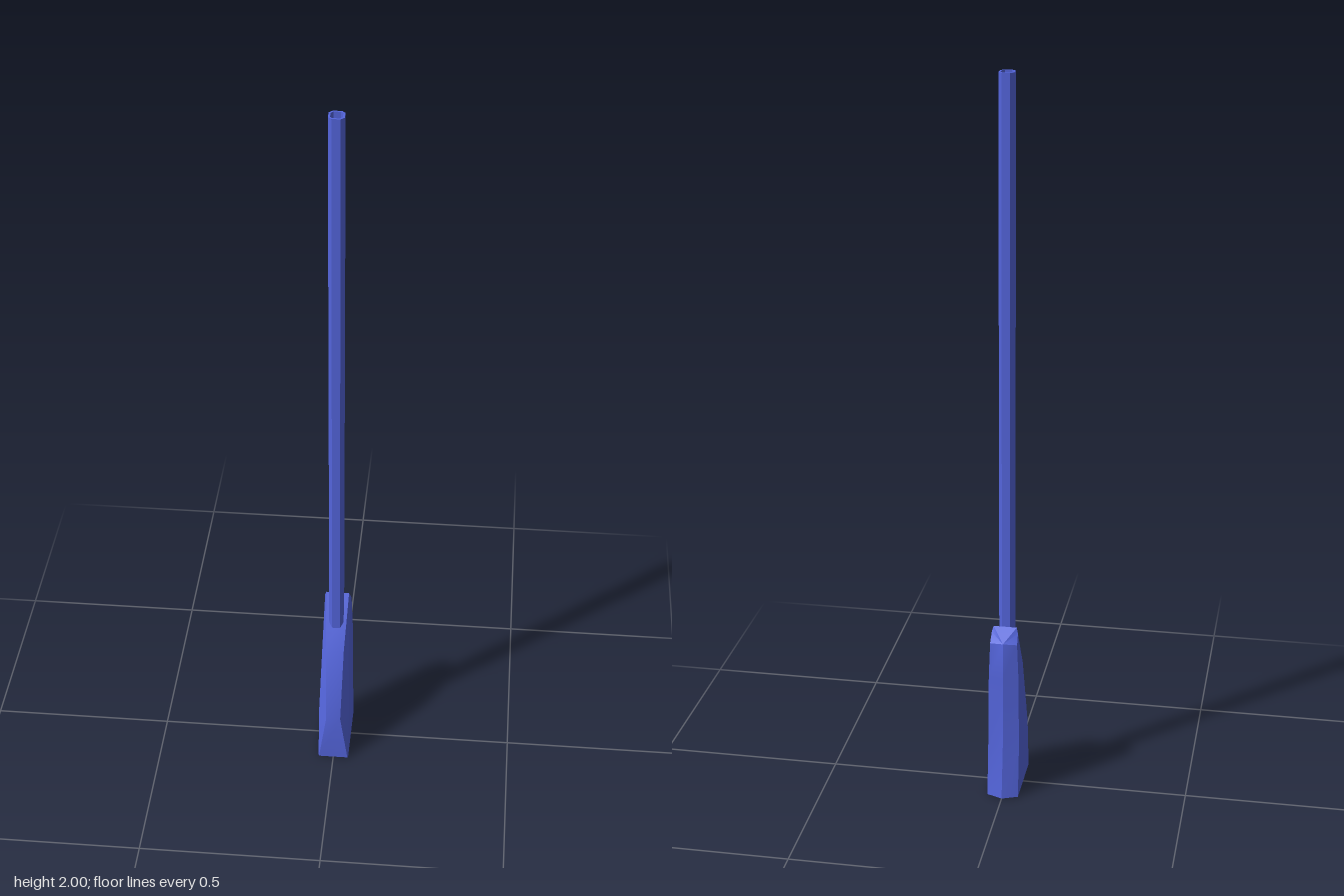
import * as THREE from 'three';
import { toCreasedNormals } from 'three/addons/utils/BufferGeometryUtils.js';

// Skin a stack of symmetric rings; each ring lists its right half [x, y, z], ending at the back ridge
function loftHalfRings(halves) {
  const rings = halves.map(h => [
    ...h,
    ...h.slice(0, -1).reverse().map(([x, y, z]) => [-x, y, z]),
  ]);
  const n = rings[0].length, ridge = halves[0].length - 1;
  const index = [];
  for (let r = 0; r < rings.length - 1; r++) {
    for (let i = 0; i < n; i++) {
      const j = (i + 1) % n, a = r * n, b = a + n;
      index.push(a + i, a + j, b + j, a + i, b + j, b + i);
    }
  }
  // End caps fanned from the ridge
  const top = (rings.length - 1) * n;
  for (let k = 1; k < n - 1; k++) {
    const p = (ridge + k) % n, q = (ridge + k + 1) % n;
    index.push(top + ridge, top + p, top + q, ridge, q, p);
  }
  const geo = new THREE.BufferGeometry();
  geo.setAttribute('position', new THREE.Float32BufferAttribute(rings.flat(2), 3));
  geo.setIndex(index);
  return toCreasedNormals(geo, 0.5);
}

// Octagon: a rectangle with cut corners
function octagon(Type, w, d, cut) {
  const pts = [
    [w, -d + cut], [w, d - cut], [w - cut, d], [-w + cut, d],
    [-w, d - cut], [-w, -d + cut], [-w + cut, -d], [w - cut, -d],
  ];
  return new Type(pts.map(([x, y]) => new THREE.Vector2(x, y)));
}

export function createModel() {
  const group = new THREE.Group();
  const material = new THREE.MeshStandardMaterial({ color: 0x5465dc, side: THREE.DoubleSide });

  // Wedge-shaped body: front edge, side edge, back corner, back ridge per ring
  const body = new THREE.Mesh(loftHalfRings([
    [[0.041, 0, 0.101], [0.043, 0, 0.095], [0.043, 0, -0.087], [0, 0, -0.104]],
    [[0.02, 0.15, 0.101], [0.043, 0.15, 0.075], [0.043, 0.15, -0.071], [0, 0.15, -0.084]],
    [[0.025, 0.36, 0.045], [0.037, 0.36, 0.025], [0.041, 0.36, -0.07], [0, 0.36, -0.082]],
    [[0.032, 0.5, -0.044], [0.036, 0.485, -0.05], [0.037, 0.46, -0.07], [0, 0.465, -0.081]],
  ]), material);
  body.name = 'body';
  group.add(body);

  // Hollow octagonal pole rising out of the sloped top
  const section = octagon(THREE.Shape, 0.02, 0.0215, 0.009);
  section.holes.push(octagon(THREE.Path, 0.015, 0.0165, 0.006));
  const poleGeo = new THREE.ExtrudeGeometry(section, { depth: 1.62, bevelEnabled: false });
  poleGeo.rotateX(-Math.PI / 2);
  const pole = new THREE.Mesh(poleGeo, material);
  pole.name = 'pole';
  pole.position.set(0, 0.38, -0.0115);
  group.add(pole);

  return group;
}
